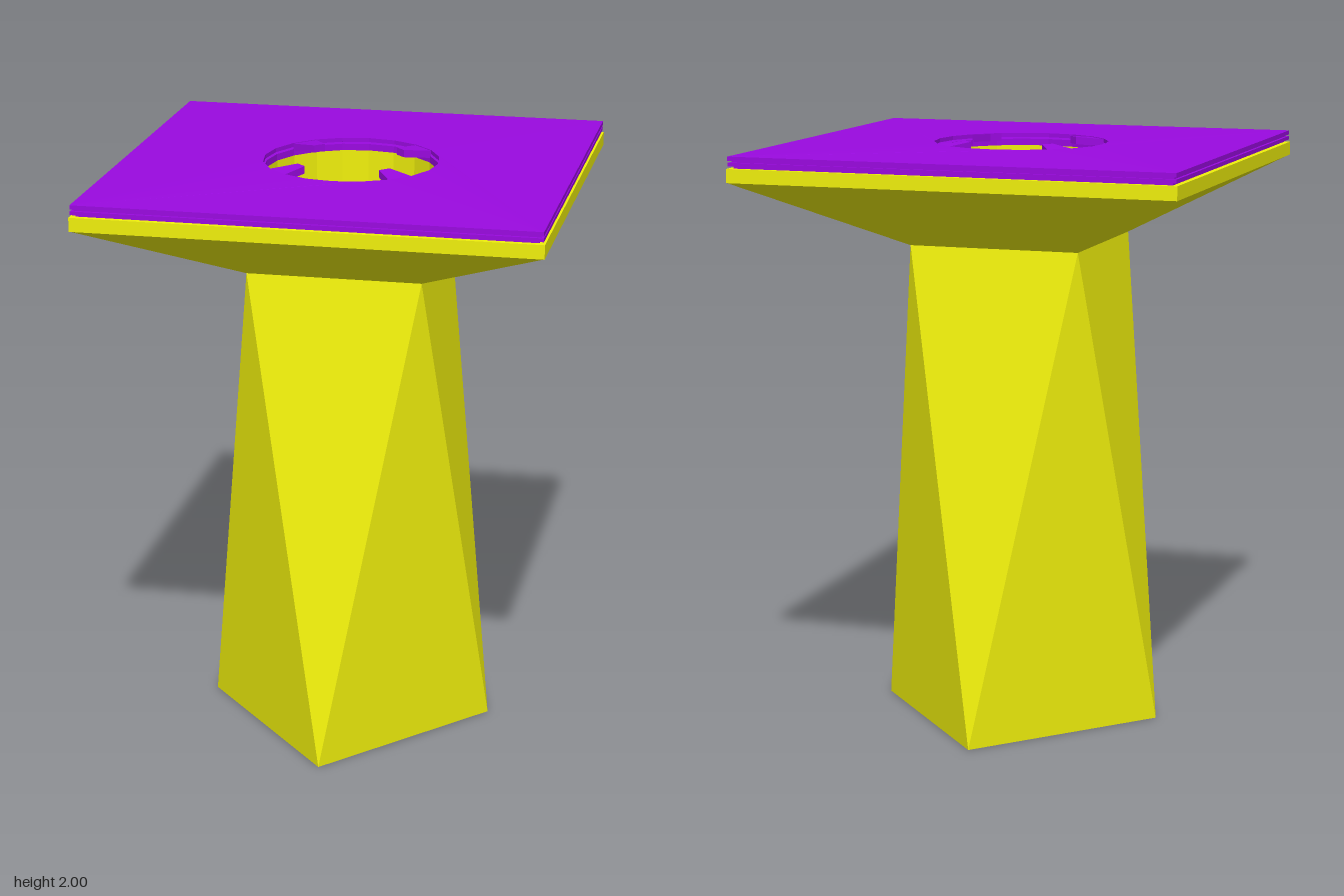
import * as THREE from 'three';
import { ConvexGeometry } from 'three/addons/geometries/ConvexGeometry.js';

const SIDES = 20;
const yellow = new THREE.MeshStandardMaterial({ color: 0xf0f00c, flatShading: true, side: THREE.DoubleSide });
const purple = new THREE.MeshStandardMaterial({ color: 0x9a0ae0, flatShading: true, side: THREE.DoubleSide });

// Rectangular plate with a round hole, lying between heights y0 and y1;
// "rise" lifts the rim of the hole a little above the outer edge.
function plate(hx, hz, y0, y1, hole, rise = 0) {
  const shape = new THREE.Shape([[-hx, -hz], [hx, -hz], [hx, hz], [-hx, hz]].map(([x, y]) => new THREE.Vector2(x, y)));
  const ring = [];
  for (let i = 0; i < SIDES; i++) {
    const a = -i / SIDES * Math.PI * 2;
    ring.push(new THREE.Vector2(Math.cos(a) * hole, Math.sin(a) * hole));
  }
  shape.holes.push(new THREE.Path(ring));
  const geo = new THREE.ExtrudeGeometry(shape, { depth: y1 - y0, bevelEnabled: false });
  geo.rotateX(-Math.PI / 2).translate(0, y0, 0);
  const p = geo.attributes.position;
  for (let i = 0; i < p.count; i++) {
    if (Math.hypot(p.getX(i), p.getZ(i)) < hole + 0.01) p.setY(i, p.getY(i) + rise);
  }
  geo.computeVertexNormals();
  return geo;
}

export function createModel() {
  const group = new THREE.Group();
  const add = (name, geo, material) => {
    const mesh = new THREE.Mesh(geo, material);
    mesh.name = name;
    group.add(mesh);
    return mesh;
  };

  // Twisted pedestal: diamond foot, rectangular top
  const points = [];
  for (const s of [-1, 1]) {
    points.push(new THREE.Vector3(s * 0.495, 0, 0), new THREE.Vector3(0, 0, s * 0.55));
    for (const t of [-1, 1]) points.push(new THREE.Vector3(s * 0.295, 1.66, t * 0.287));
  }
  add('pedestal', new ConvexGeometry(points), yellow);

  // Flared underside of the basin
  const flare = new THREE.CylinderGeometry(0.757 * Math.SQRT2, 0.295 * Math.SQRT2, 0.24, 4, 1, true);
  flare.rotateY(Math.PI / 4).scale(1, 1, 0.973).translate(0, 1.78, 0);
  add('flare', flare, yellow);

  // Yellow slab, then two thin purple plates with shadow gaps between
  add('slab', plate(0.759, 0.739, 1.9, 1.946, 0.29), yellow);
  add('lowerGap', plate(0.74, 0.72, 1.946, 1.954, 0.292), purple);
  add('lowerPlate', plate(0.755, 0.735, 1.954, 1.966, 0.292), purple);
  add('upperGap', plate(0.745, 0.725, 1.966, 1.972, 0.292), purple);
  add('upperPlate', plate(0.755, 0.735, 1.972, 1.986, 0.296, 0.006), purple);

  // Round well with a shallow conical floor
  const profile = [[0, 1.73], [0.29, 1.82], [0.29, 1.95]].map(([x, y]) => new THREE.Vector2(x, y));
  add('well', new THREE.LatheGeometry(profile, SIDES), yellow);

  // Four tapered tabs reaching into the opening
  const tab = new THREE.Shape([[-0.046, 0.292], [-0.021, 0.198], [0.021, 0.198], [0.046, 0.292]]
    .map(([x, y]) => new THREE.Vector2(x, y)));
  for (let i = 0; i < 4; i++) {
    const geo = new THREE.ExtrudeGeometry(tab, { depth: 0.025, bevelEnabled: false });
    geo.rotateX(-Math.PI / 2).translate(0, 1.965, 0);
    // Inner end curls up slightly
    const p = geo.attributes.position;
    for (let j = 0; j < p.count; j++) if (p.getZ(j) > -0.21) p.setY(j, p.getY(j) + 0.01);
    geo.computeVertexNormals();
    add('tab', geo, purple).rotation.y = Math.PI / 4 + i * Math.PI / 2;
  }

  return group;
}
